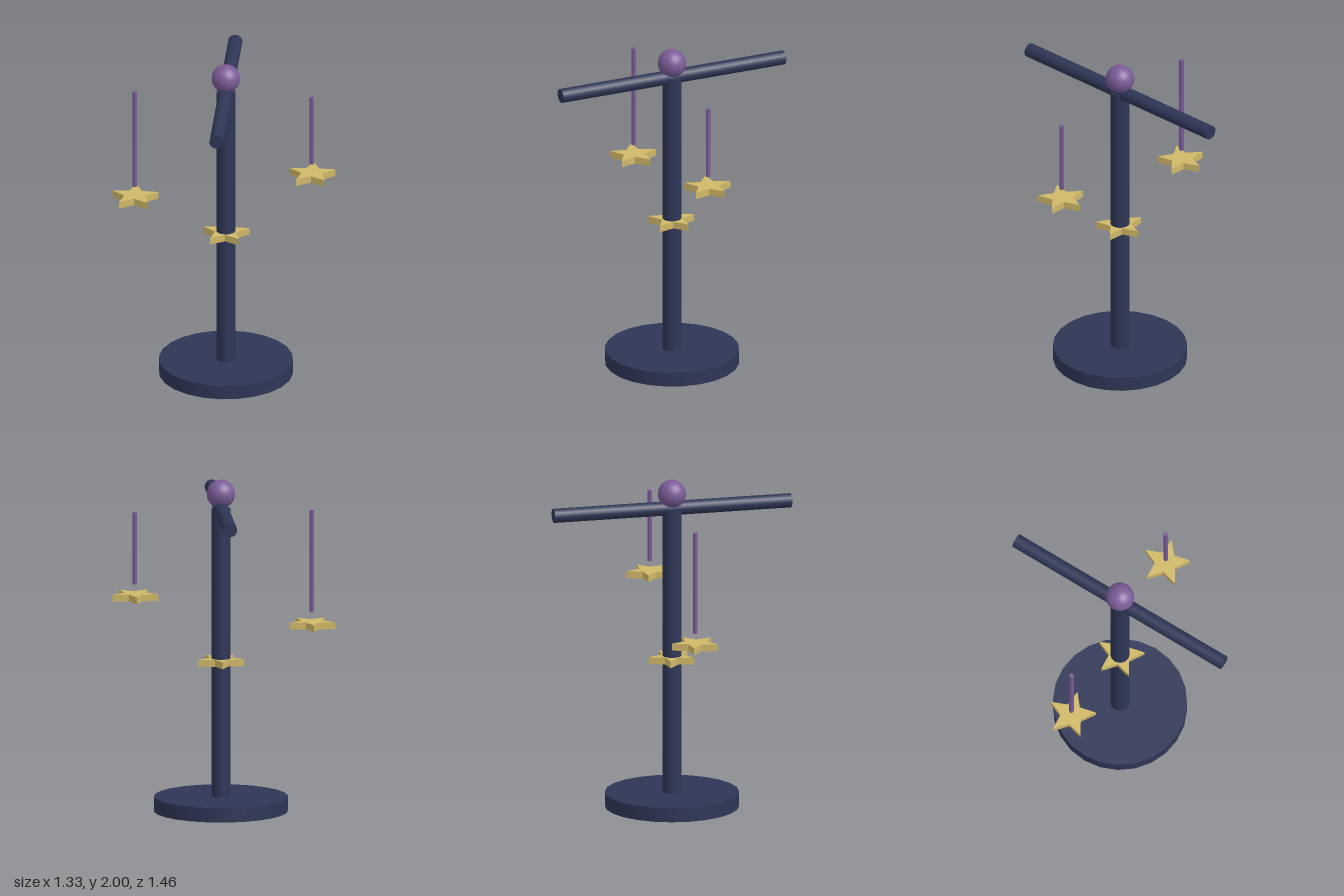
import * as THREE from 'three';

const material = (name, color) => {
  const m = new THREE.MeshStandardMaterial({ color });
  m.name = name;
  return m;
};

export function createModel() {
  const group = new THREE.Group();
  const navy = material('navy', 0x2e3656);
  const purple = material('purple', 0x7a5c98);
  const gold = material('gold', 0xd0b868);
  const POLE_X = 0.015;

  const add = (name, geometry, mat, x, y, z = 0) => {
    const mesh = new THREE.Mesh(geometry, mat);
    mesh.name = name;
    mesh.position.set(x, y, z);
    group.add(mesh);
    return mesh;
  };

  // Upright cylinder between two heights
  const post = (name, radius, y0, y1, sides, mat, x) =>
    add(name, new THREE.CylinderGeometry(radius, radius, y1 - y0, sides), mat, x, (y0 + y1) / 2);

  // Stand
  post('base', 0.4, 0, 0.087, 24, navy, POLE_X);
  post('pole', 0.057, 0.08, 1.828, 24, navy, POLE_X);

  // Crossbar running front to back, with a ball on top
  const bar = post('crossbar', 0.0425, 0, 1.46, 20, navy, POLE_X);
  bar.rotation.x = Math.PI / 2;
  bar.position.y = 1.828;
  add('finial', new THREE.SphereGeometry(0.085, 24, 16), purple, POLE_X, 1.915);

  // Flat five-pointed star, one tip towards the back
  const points = [];
  for (let i = 0; i < 10; i++) {
    const r = i % 2 ? 0.065 : 0.145;
    const a = Math.PI / 2 + (i * Math.PI) / 5;
    points.push(new THREE.Vector2(r * Math.cos(a), r * Math.sin(a)));
  }
  const starGeometry = new THREE.ExtrudeGeometry(new THREE.Shape(points), { depth: 0.042, bevelEnabled: false });
  starGeometry.rotateX(-Math.PI / 2);

  // Hanging rods, each with a star below: x, rod bottom, star underside
  const hangers = [
    ['right', -0.528, 1.193, 1.097],
    ['middle', POLE_X, 0.975, 0.88],
    ['left', 0.528, 1.377, 1.281],
  ];
  for (const [side, x, rodBottom, starBottom] of hangers) {
    post(`${side}Rod`, 0.0135, rodBottom, 1.81, 10, purple, x);
    add(`${side}Star`, starGeometry, gold, x, starBottom);
  }

  return group;
}
